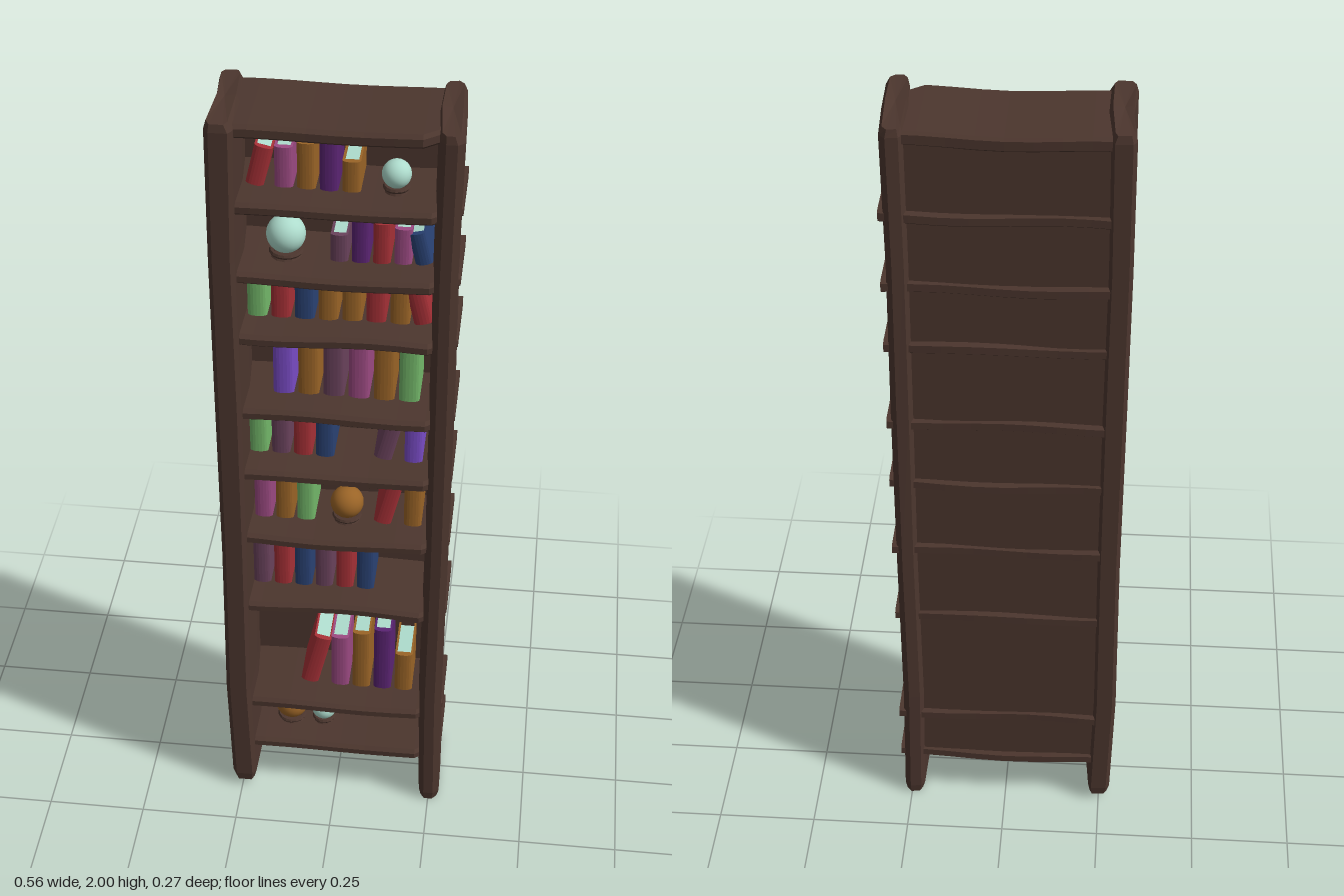
import * as THREE from 'three';

const mat = (name, color, flatShading = false) => {
  const m = new THREE.MeshStandardMaterial({ color, flatShading });
  m.name = name;
  return m;
};

// Skin a list of equal-length rings of [x, y, z] points and cap both ends
function loft(rings) {
  const n = rings[0].length, pos = rings.flat(2), idx = [];
  for (let i = 0; i < rings.length - 1; i++) {
    for (let j = 0; j < n; j++) {
      const a = i * n + j, b = i * n + (j + 1) % n;
      idx.push(a, a + n, b, b, a + n, b + n);
    }
  }
  [0, rings.length - 1].forEach((r, end) => {
    const c = pos.length / 3;
    for (let k = 0; k < 3; k++) pos.push(rings[r].reduce((s, p) => s + p[k], 0) / n);
    for (let j = 0; j < n; j++) {
      const a = r * n + j, b = r * n + (j + 1) % n;
      idx.push(c, end ? b : a, end ? a : b);
    }
  });
  const g = new THREE.BufferGeometry();
  g.setAttribute('position', new THREE.Float32BufferAttribute(pos, 3));
  g.setIndex(idx);
  const flat = g.toNonIndexed();
  flat.computeVertexNormals();
  return flat;
}

// Upright side board: a worn plan outline lofted up, rounded at both ends
function sideBoard(plan, bottom, cx, flare) {
  const levels = [[bottom, 0.8], [bottom + 0.025, 1], [0.35, 1], [0.8, 0.97], [1.25, 1], [1.65, 0.96], [1.975, 1], [2, 0.75]];
  return loft(levels.map(([y, s], i) => plan.map(([x, z]) => [
    cx + (x - cx) * s + (i < 2 ? flare : Math.sin(i * 2.3) * 0.002),
    y - (i > 6 ? Math.abs(z) * 0.05 : 0),
    z * (s < 0.9 ? 0.97 : 1),
  ])));
}

// Wavy horizontal board with chamfered long edges
function shelfBoard(top, thick, x0, x1, seed) {
  const rings = [];
  for (let i = 0; i <= 8; i++) {
    const x = x0 + (x1 - x0) * i / 8;
    const y = top + Math.sin(i * 0.9 + seed) * 0.003, b = y - thick;
    const dz = Math.sin(i * 0.8 + seed * 2) * 0.003;
    const front = i === 8 ? 0.06 : 0.108;
    rings.push([[front - 0.01, y], [-0.115, y], [-0.123, y - 0.006], [-0.123, b + 0.006],
      [-0.115, b], [front - 0.01, b], [front, b + 0.008], [front, y - 0.008]]
      .map(([z, yy]) => [x, yy, z + dz]));
  }
  return loft(rings);
}

export function createModel() {
  const root = new THREE.Group();
  root.name = 'bookcase';
  const wood = mat('dark wood', 0x4c362e, true);
  const pale = mat('pale paper', 0xaedccd);
  const colours = {
    red: mat('red', 0xa53036), pink: mat('pink', 0x9c4a82), orange: mat('ochre', 0x9a6427),
    purple: mat('purple', 0x5b2473), mauve: mat('mauve', 0x6a425c), green: mat('green', 0x74b86a),
    blue: mat('blue', 0x2a4274), violet: mat('violet', 0x7a4cc6), pale,
  };
  // Height of each kind of book, relative to its row
  const tall = { red: 1.02, pink: 0.92, orange: 1.03, purple: 1.12, mauve: 0.96, green: 0.98, blue: 0.93, violet: 0.98 };
  const add = (name, geo, material, parent = root) => {
    const m = new THREE.Mesh(geo, material);
    m.name = name;
    parent.add(m);
    return m;
  };

  // Side boards
  const rightPlan = [[-0.284, -0.115], [-0.275, -0.128], [-0.236, -0.13], [-0.228, -0.115], [-0.217, 0],
    [-0.219, 0.118], [-0.228, 0.132], [-0.27, 0.132], [-0.282, 0.115], [-0.273, 0]];
  const leftPlan = [[0.213, -0.115], [0.222, -0.13], [0.25, -0.134], [0.265, -0.12], [0.272, 0],
    [0.275, 0.115], [0.26, 0.128], [0.235, 0.128], [0.222, 0.113], [0.211, 0]];
  add('rightSide', sideBoard(rightPlan, 0.02, -0.25, 0.006), wood);
  add('leftSide', sideBoard(leftPlan, 0, 0.245, 0.003), wood);

  // Back panel and top board
  const back = add('backPanel', new THREE.BoxGeometry(0.47, 1.83, 0.014), wood);
  back.position.set(0, 1.05, -0.108);
  add('topBoard', shelfBoard(1.98, 0.034, -0.25, 0.25, 1), wood);

  // Book: hard cover wrapped round a page block, rounded spine to the front
  function addBook(shelf, colour, x, y, w, h, lean) {
    const book = new THREE.Group();
    book.name = colour + 'Book';
    const e = w / 2, d = 0.065, t = 0.005;
    const s = new THREE.Shape();
    s.moveTo(-e, d);
    s.lineTo(-e, -d + 0.008);
    s.quadraticCurveTo(-e * 0.8, -d, 0, -d);
    s.quadraticCurveTo(e * 0.8, -d, e, -d + 0.008);
    s.lineTo(e, d);
    s.lineTo(e - t, d);
    s.lineTo(e - t, -d + 0.015);
    s.lineTo(-e + t, -d + 0.015);
    s.lineTo(-e + t, d);
    const cover = new THREE.ExtrudeGeometry(s, { depth: h, bevelEnabled: false, curveSegments: 4 });
    cover.rotateX(-Math.PI / 2);
    add('cover', cover, colours[colour], book);
    const pages = add('pages', new THREE.BoxGeometry(w - 2 * t, h - 0.012, 2 * d - 0.02), pale, book);
    pages.position.set(0, h / 2, -0.004);
    book.position.set(x, y + e * Math.sin(Math.abs(lean)), -0.037);
    book.rotation.z = -lean;
    shelf.add(book);
  }

  // Row of books at an even pitch: "/" and "<" lean right and left, "-" is short, "_" is a gap
  function addRow(shelf, y, x0, pitch, height, row) {
    row.split(' ').forEach((word, i) => {
      if (word === '_') return;
      const colour = word.replace(/[^a-z]/g, '');
      const right = word.endsWith('/'), left = word.endsWith('<');
      const scale = word.endsWith('-') ? 0.68 : tall[colour] * (right || left ? 0.86 : 1);
      const x = x0 + i * pitch - (right ? height * 0.14 : 0);
      addBook(shelf, colour, x, y, pitch * 0.82, height * scale, right ? 0.23 : left ? -0.23 : 0);
    });
  }

  // Orb resting on a small ringed stand
  function addOrb(shelf, colour, x, y, r) {
    const orb = new THREE.Group();
    orb.name = 'orb';
    add('ball', new THREE.SphereGeometry(r, 24, 16), colours[colour], orb).position.y = r + 0.01;
    const ring = add('standRing', new THREE.TorusGeometry(r * 0.75, 0.006, 6, 16), wood, orb);
    ring.rotation.x = Math.PI / 2;
    ring.position.y = 0.012;
    add('standBase', new THREE.CylinderGeometry(r * 0.6, r * 0.8, 0.012, 12), wood, orb).position.y = 0.006;
    orb.position.set(x, y, 0.008);
    shelf.add(orb);
  }

  // Shelves from the top down: board height, first book x, pitch, book height, books
  const shelves = [
    [1.79, -0.173, 0.05, 0.11, 'red/ pink orange purple orange-'],
    [1.61, 0, 0.048, 0.1, 'mauve- purple red pink blue<'],
    [1.45, -0.19, 0.055, 0.124, 'green red blue orange orange red orange red<'],
    [1.235, -0.132, 0.0595, 0.172, 'violet orange mauve pink orange green'],
    [1.055, -0.195, 0.0535, 0.148, 'green mauve red blue _ _ mauve/ violet'],
    [0.855, -0.188, 0.0528, 0.157, 'pink orange green _ _ _ red/ orange'],
    [0.64, -0.196, 0.0525, 0.163, 'mauve red blue mauve red blue'],
    [0.3, -0.053, 0.0555, 0.18, 'red/ pink orange purple orange-'],
    [0.155, 0, 0.05, 0.1, '_'],
  ].map(([y, x0, pitch, height, row], i) => {
    const shelf = new THREE.Group();
    shelf.name = 'shelf' + (i + 1);
    add('shelfBoard', shelfBoard(y, 0.031, -0.255, 0.276, i * 1.7), wood, shelf);
    addRow(shelf, y, x0, pitch, height, row);
    root.add(shelf);
    return shelf;
  });
  addOrb(shelves[0], 'pale', 0.125, 1.79, 0.033);
  addOrb(shelves[1], 'pale', -0.122, 1.61, 0.045);
  addOrb(shelves[5], 'orange', 0.018, 0.855, 0.041);
  addOrb(shelves[8], 'orange', -0.128, 0.155, 0.043);
  addOrb(shelves[8], 'pale', -0.042, 0.155, 0.033);
  return root;
}
